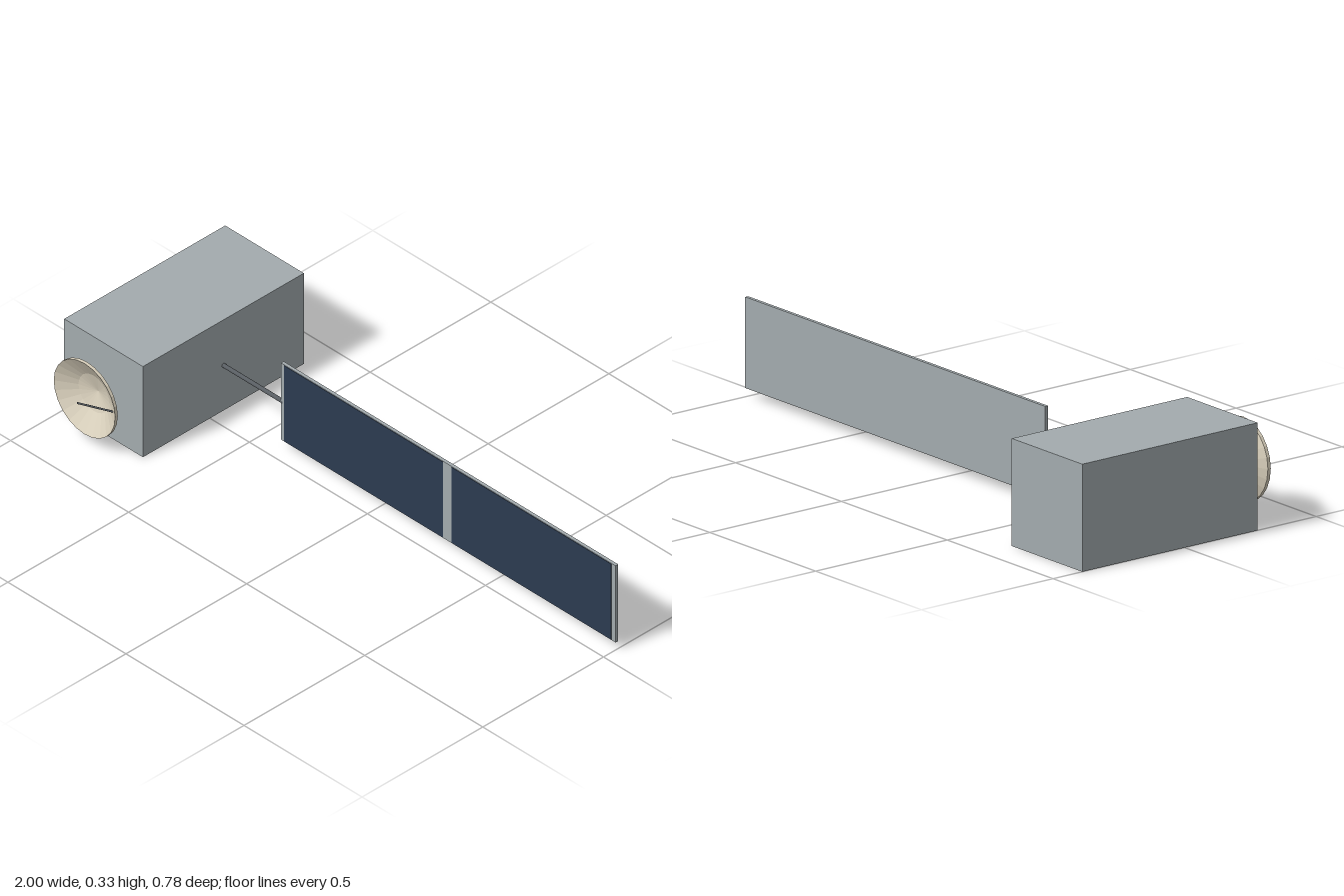
import * as THREE from 'three';

export function createModel() {
  const model = new THREE.Group();
  model.name = 'satellite';

  const material = (name, color) => {
    const m = new THREE.MeshStandardMaterial({ color });
    m.name = name;
    return m;
  };
  const grey = material('hull grey', 0xa3abae);
  const navy = material('solar cell navy', 0x2c3b50);
  const cream = material('dish cream', 0xd9d0bc);
  const steel = material('dark steel', 0x595e63);

  const add = (name, geometry, mat, x = 0, y = 0, z = 0) => {
    const mesh = new THREE.Mesh(geometry, mat);
    mesh.name = name;
    mesh.position.set(x, y, z);
    model.add(mesh);
    return mesh;
  };

  // Straight round rod between two points
  const rod = (name, from, to, radius) => {
    const a = new THREE.Vector3(...from), b = new THREE.Vector3(...to);
    const dir = b.clone().sub(a);
    const mesh = add(name, new THREE.CylinderGeometry(radius, radius, dir.length(), 12), steel);
    mesh.position.copy(a).add(b).multiplyScalar(0.5);
    mesh.quaternion.setFromUnitVectors(new THREE.Vector3(0, 1, 0), dir.normalize());
  };

  const midY = 0.1667, bodyX = -0.8333, wingZ = -0.0555;

  // Box body
  add('body', new THREE.BoxGeometry(0.3333, 0.3333, 0.6667), grey, bodyX, midY, -0.0555);

  // Boom and solar wing
  rod('wingBoom', [-0.68, midY, wingZ], [-0.41, midY, wingZ], 0.007);
  add('solarWing', new THREE.BoxGeometry(1.417, 0.282, 0.011), grey, 0.2915, 0.1685, wingZ);

  // Two solar cell plates on the wing's front face
  for (const [x0, x1] of [[-0.403, 0.27], [0.306, 0.982]]) {
    add('solarCells', new THREE.BoxGeometry(x1 - x0, 0.278, 0.002), navy,
      (x0 + x1) / 2, 0.1685, wingZ + 0.0056);
  }

  // Faceted dish: conical back, thin rim, two-step hollow front
  const profile = [[0, 0], [0.13, 0.057], [0.13, 0.068], [0.065, 0.029], [0, 0.011]]
    .map(([r, h]) => new THREE.Vector2(r, h));
  const dishGeometry = new THREE.LatheGeometry(profile, 24).toNonIndexed();
  dishGeometry.computeVertexNormals();
  dishGeometry.rotateX(Math.PI / 2);
  add('dish', dishGeometry, cream, bodyX, midY + 0.001, 0.289);

  // Slanted feed rod, from the dish wall to the focus
  rod('feedRod', [-0.724, 0.168, 0.34], [-0.8333, 0.168, 0.387], 0.003);

  return model;
}
